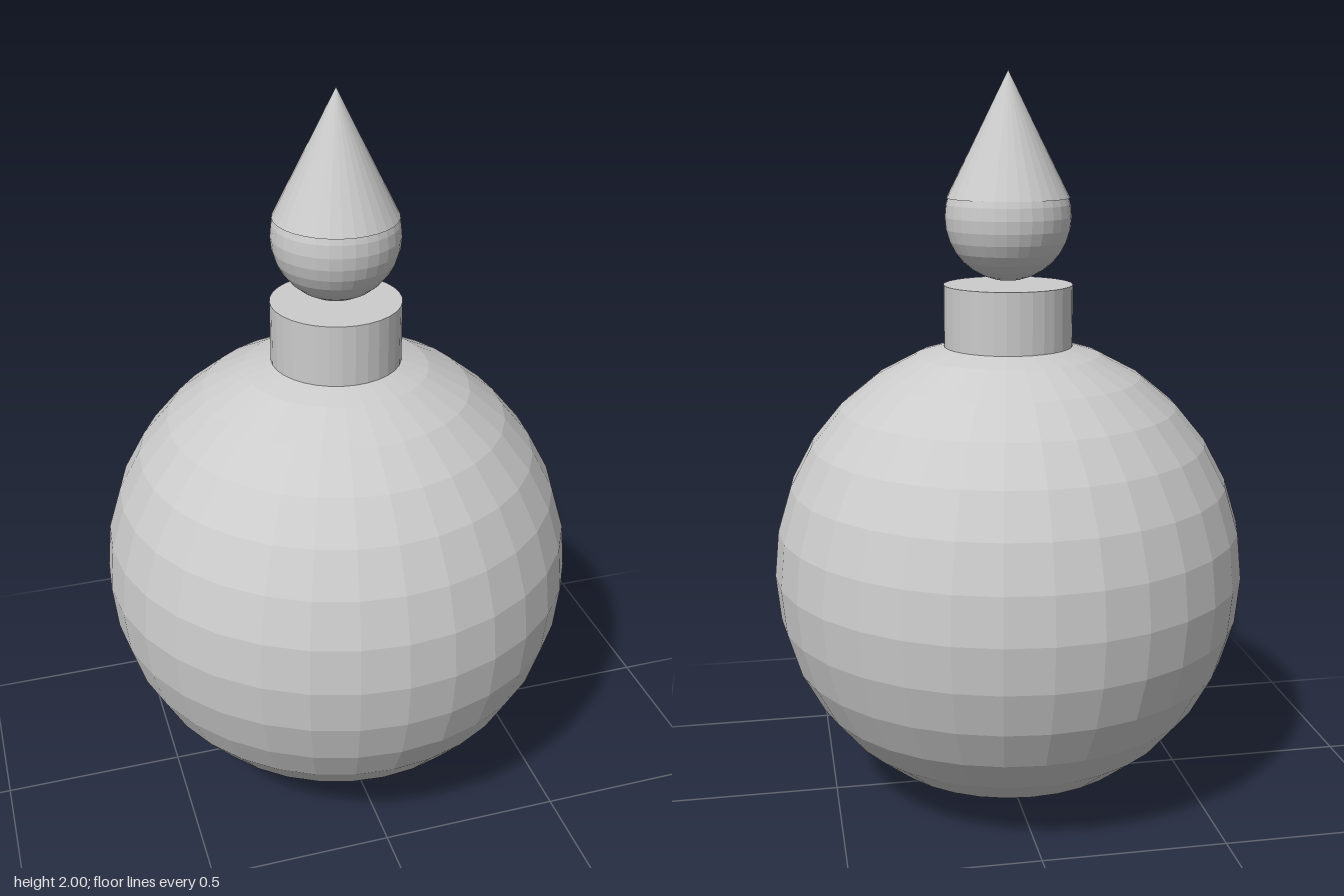
import * as THREE from 'three';

export function createModel() {
  const group = new THREE.Group();
  const material = new THREE.MeshStandardMaterial({ color: 0xcccccc, flatShading: true });

  const add = (name, geometry, y, parent = group) => {
    const mesh = new THREE.Mesh(geometry, material);
    mesh.name = name;
    mesh.position.y = y;
    parent.add(mesh);
    return mesh;
  };

  // Round faceted body standing on the ground
  add('body', new THREE.SphereGeometry(0.65, 32, 16), 0.65);

  // Short collar sunk into the top of the body
  const neckBottom = 1.24, neckTop = 1.44;
  add('neck', new THREE.CylinderGeometry(0.175, 0.175, neckTop - neckBottom, 32),
    (neckBottom + neckTop) / 2);

  // Teardrop stopper: a ball with a cone running tangent to it
  const stopper = new THREE.Group();
  stopper.name = 'stopper';
  group.add(stopper);
  const coneBottom = 1.67, tip = 2;
  add('stopperBall', new THREE.SphereGeometry(0.17, 32, 16), 1.62, stopper);
  add('stopperTip', new THREE.ConeGeometry(0.165, tip - coneBottom, 32),
    (coneBottom + tip) / 2, stopper);

  return group;
}
